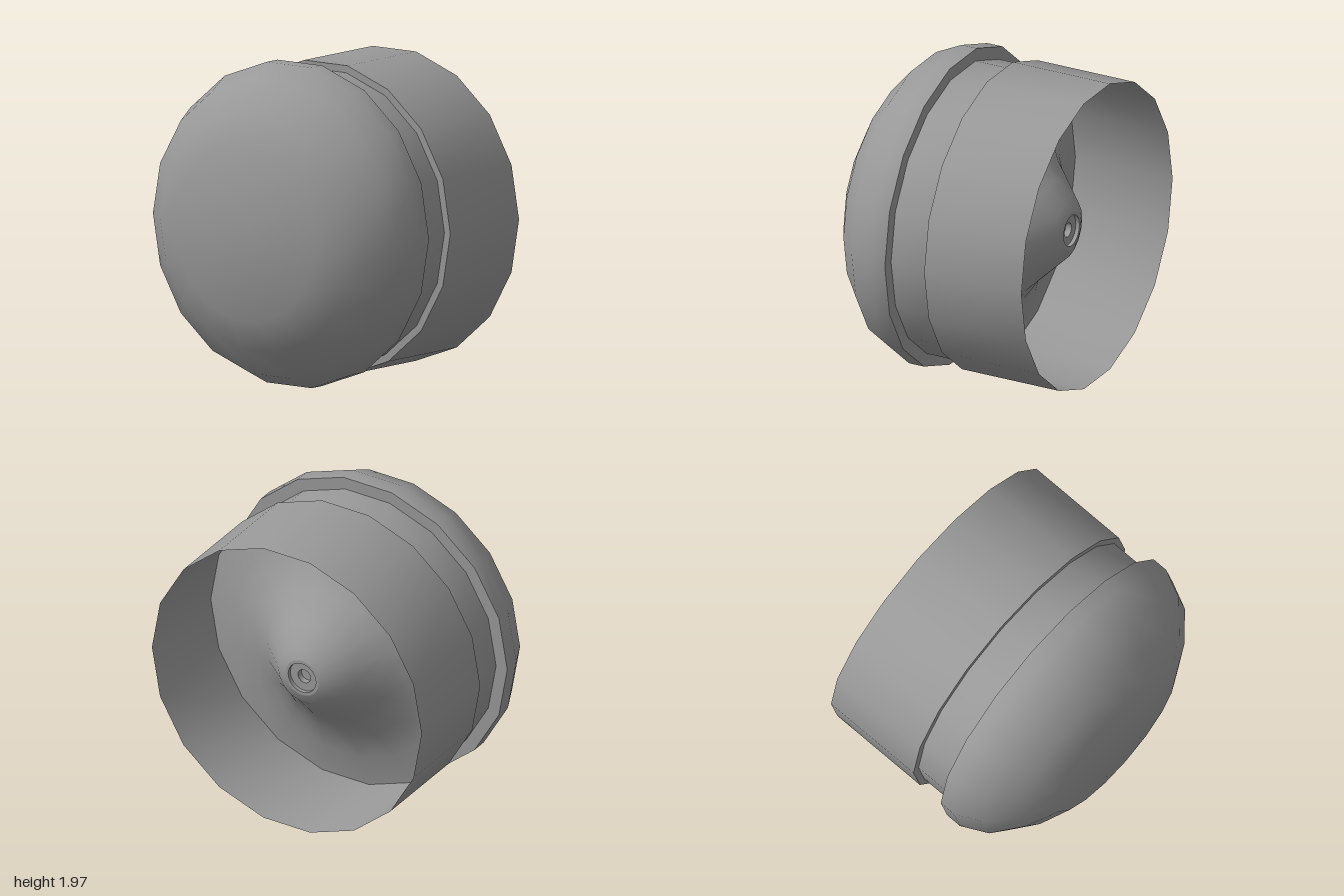
import * as THREE from 'three';
import { toCreasedNormals } from 'three/addons/utils/BufferGeometryUtils.js';

const SIDES = 18;
const CENTRE_Y = 0.985;

export function createModel() {
  const model = new THREE.Group();
  const material = new THREE.MeshStandardMaterial({ color: 0x999999, side: THREE.DoubleSide });

  // Revolves a [radius, z] profile about the front-to-back axis.
  function turned(name, profile) {
    const points = profile.map(([r, z]) => new THREE.Vector2(r, z));
    const geometry = new THREE.LatheGeometry(points, SIDES, Math.PI / 2);
    geometry.rotateX(Math.PI / 2);
    const mesh = new THREE.Mesh(toCreasedNormals(geometry, Math.PI / 3), material);
    mesh.name = name;
    mesh.position.y = CENTRE_Y;
    model.add(mesh);
  }

  // Rounded front cap with a flat face
  turned('domedCap', [[1, 0.197], [1, 0.3], [0.92, 0.47], [0.745, 0.62], [0.545, 0.725], [0, 0.725]]);
  turned('capUnderside', [[0.92, 0.197], [1, 0.197]]);

  // Groove between cap and skirt
  turned('neck', [[0.92, -0.055], [0.92, 0.197]]);
  turned('skirtShoulder', [[0.965, -0.055], [0.92, -0.055]]);

  // Thin open skirt at the back
  turned('skirt', [[0.965, -0.725], [0.965, -0.055]]);

  // Bell-shaped floor inside the skirt
  turned('innerBell', [[0.12, -0.55], [0.19, -0.52], [0.3, -0.41], [0.43, -0.28],
    [0.58, -0.17], [0.76, -0.095], [0.965, -0.055]]);

  // Stepped socket in the tip of the bell
  turned('socketRim', [[0.1, -0.55], [0.12, -0.55]]);
  turned('socketWall', [[0.1, -0.525], [0.1, -0.55]]);
  turned('socketLedge', [[0.045, -0.525], [0.1, -0.525]]);
  turned('holeWall', [[0.045, -0.485], [0.045, -0.525]]);
  turned('holeFloor', [[0, -0.485], [0.045, -0.485]]);

  return model;
}
